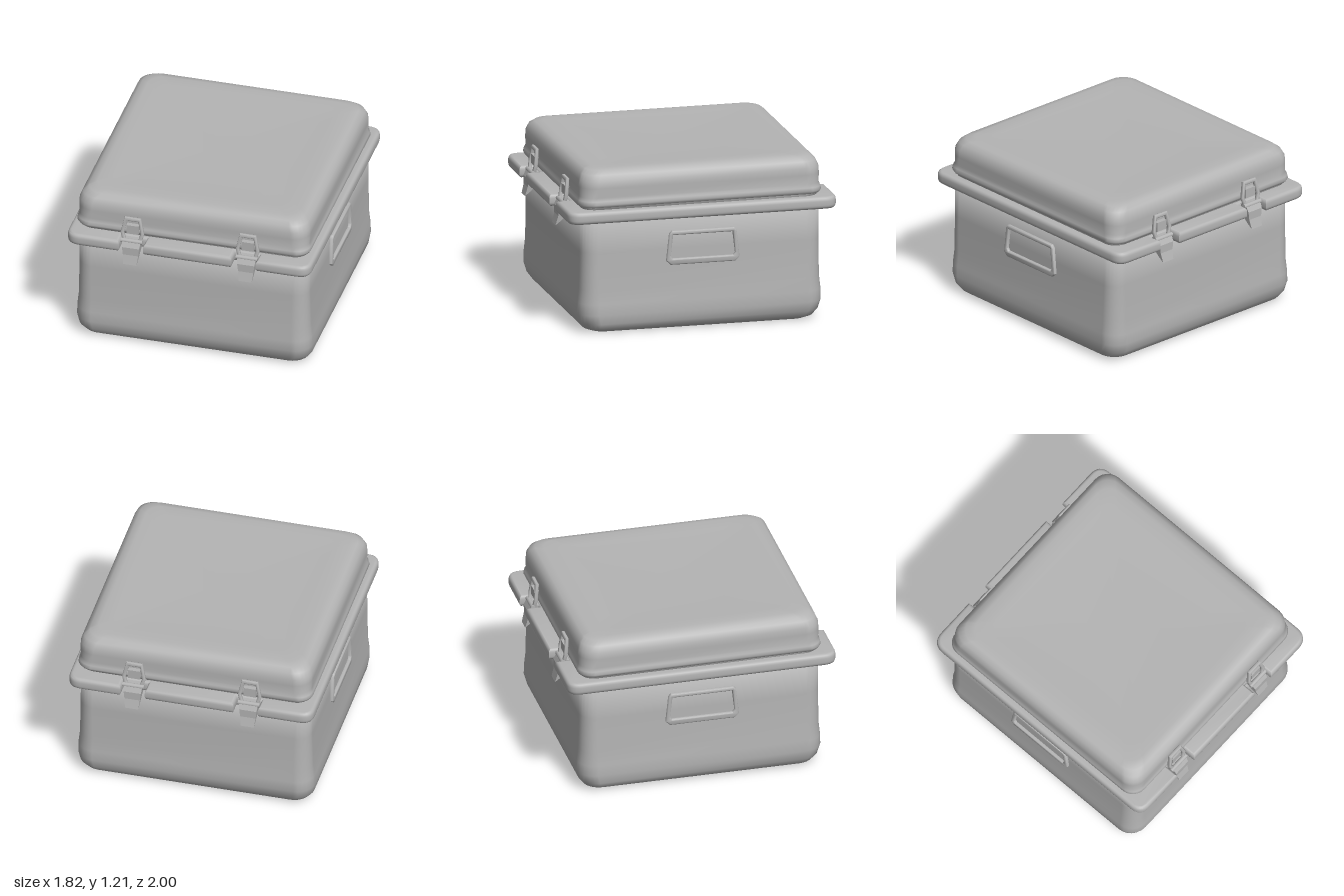
import * as THREE from 'three';
import { toCreasedNormals } from 'three/addons/utils/BufferGeometryUtils.js';

const CORNER = 6;

// Horizontal rounded rectangle as a ring of [x, z] points
function ring(hx, hz, r) {
  const pts = [];
  [[1, 1], [-1, 1], [-1, -1], [1, -1]].forEach(([sx, sz], k) => {
    for (let i = 0; i <= CORNER; i++) {
      const a = (k + i / CORNER) * Math.PI / 2;
      pts.push([sx * (hx - r) + r * Math.cos(a), sz * (hz - r) + r * Math.sin(a)]);
    }
  });
  return pts;
}

// Closed smooth shell through sections [y, halfX, halfZ, cornerRadius]
function loft(sections) {
  const n = 4 * (CORNER + 1), pos = [], idx = [];
  for (const [y, hx, hz, r] of sections) for (const [x, z] of ring(hx, hz, r)) pos.push(x, y, z);
  const last = (sections.length - 1) * n, c0 = sections.length * n, c1 = c0 + 1;
  pos.push(0, sections[0][0], 0, 0, sections[sections.length - 1][0], 0);
  for (let i = 0; i < n; i++) {
    const j = (i + 1) % n;
    for (let s = 0; s < last; s += n) idx.push(s + i, s + n + i, s + j, s + j, s + n + i, s + n + j);
    idx.push(c0, i, j, c1, last + j, last + i);
  }
  const g = new THREE.BufferGeometry();
  g.setAttribute('position', new THREE.Float32BufferAttribute(pos, 3));
  g.setIndex(idx);
  g.computeVertexNormals();
  return g;
}

const polygon = (pts) => new THREE.Shape(pts.map(([x, y]) => new THREE.Vector2(x, y)));

// Flat frame: outline with a hole, softly bevelled
function frame(outer, inner, depth, bevel) {
  const shape = polygon(outer);
  shape.holes.push(polygon(inner));
  return toCreasedNormals(new THREE.ExtrudeGeometry(shape, {
    depth, bevelEnabled: true, bevelSize: bevel, bevelThickness: bevel, bevelOffset: -bevel, bevelSegments: 2,
  }), 0.8);
}

export function createModel() {
  const model = new THREE.Group();
  model.name = 'storageCase';
  const grey = new THREE.MeshStandardMaterial({ color: 0xb4b4b4 });
  grey.name = 'grey';
  const add = (parent, name, geo) => {
    const m = new THREE.Mesh(geo, grey);
    m.name = name;
    parent.add(m);
    return m;
  };

  // Tub with a rounded foot and a slight taper upward
  add(model, 'body', loft([
    [0.01, 0.74, 0.76, 0.08], [0.0, 0.79, 0.80, 0.1], [0.022, 0.835, 0.85, 0.12], [0.07, 0.868, 0.885, 0.13],
    [0.14, 0.878, 0.905, 0.13], [0.22, 0.877, 0.903, 0.13], [0.32, 0.866, 0.892, 0.12],
    [0.6, 0.86, 0.888, 0.11], [0.87, 0.858, 0.887, 0.11],
  ]));

  // Lid with a recessed neck, a lower lip and a shallow dished top
  add(model, 'lid', loft([
    [0.88, 0.845, 0.875, 0.1], [0.935, 0.845, 0.875, 0.1], [0.94, 0.862, 0.895, 0.11], [0.96, 0.872, 0.905, 0.11],
    [0.985, 0.868, 0.90, 0.11], [1.01, 0.858, 0.89, 0.11], [1.08, 0.862, 0.893, 0.12], [1.13, 0.86, 0.89, 0.12],
    [1.175, 0.84, 0.872, 0.12], [1.203, 0.805, 0.84, 0.12], [1.214, 0.755, 0.785, 0.11],
    [1.211, 0.65, 0.68, 0.1], [1.202, 0.4, 0.42, 0.08],
  ]));

  // Rim around the seam, notched where the latches sit
  const rim = new THREE.Shape();
  const X = 0.91, Z = 1.0, R = 0.1, N = 0.9;
  const notches = [[0.51, N], [0.33, N]];
  rim.moveTo(X, -Z + R);
  rim.lineTo(X, Z - R);
  rim.quadraticCurveTo(X, Z, X - R, Z);
  const edge = (s) => {
    for (const m of [1, -1]) {
      const [a, b] = m > 0 ? [0.51, 0.33] : [-0.33, -0.51];
      for (const [x, z] of [[a, Z], [a, notches[0][1]], [b, N], [b, Z]]) rim.lineTo(s * x, s * z);
    }
  };
  edge(1);
  rim.lineTo(-X + R, Z);
  rim.quadraticCurveTo(-X, Z, -X, Z - R);
  rim.lineTo(-X, -Z + R);
  rim.quadraticCurveTo(-X, -Z, -X + R, -Z);
  edge(-1);
  rim.lineTo(X - R, -Z);
  rim.quadraticCurveTo(X, -Z, X, -Z + R);
  const rimGeo = new THREE.ExtrudeGeometry(rim, {
    depth: 0.03, bevelEnabled: true, bevelSize: 0.025, bevelThickness: 0.03, bevelOffset: -0.025,
    bevelSegments: 4, curveSegments: 8,
  });
  rimGeo.rotateX(-Math.PI / 2).translate(0, 0.86, 0);
  add(model, 'rim', toCreasedNormals(rimGeo, 0.8));

  // Latch parts: flared pull tab, wire loop, hook and hinge pin
  const tabGeo = new THREE.ExtrudeGeometry(
    polygon([[0.885, 0.91], [0.95, 0.91], [0.975, 0.86], [0.975, 0.80], [0.993, 0.73], [0.95, 0.765], [0.91, 0.81], [0.885, 0.83]]),
    { depth: 0.14, bevelEnabled: false });
  tabGeo.rotateY(-Math.PI / 2).translate(0.07, 0, 0);
  const p = tabGeo.attributes.position;
  for (let i = 0; i < p.count; i++) p.setX(i, p.getX(i) * (0.7 + 0.3 * (p.getY(i) - 0.73) / 0.18));
  tabGeo.computeVertexNormals();
  const loopGeo = frame(
    [[-0.065, 0], [0.065, 0], [0.088, 0.08], [0.06, 0.2], [-0.06, 0.2], [-0.088, 0.08]],
    [[-0.045, 0.025], [-0.062, 0.08], [-0.042, 0.172], [0.042, 0.172], [0.062, 0.08], [0.045, 0.025]],
    0.012, 0.008);
  loopGeo.rotateX(-0.13).translate(0, 0.88, 0.925);
  const hookGeo = new THREE.BoxGeometry(0.09, 0.07, 0.05).translate(0, 0.985, 0.9);
  const pinGeo = new THREE.CylinderGeometry(0.018, 0.018, 0.16, 10).rotateZ(Math.PI / 2).translate(0, 0.9, 0.94);

  // Two latches on the front and two on the back
  for (const side of ['front', 'back']) {
    const pair = new THREE.Group();
    pair.name = side + 'Latches';
    if (side === 'back') pair.rotation.y = Math.PI;
    for (const x of [-0.43, 0.43]) {
      const latch = new THREE.Group();
      latch.name = 'latch';
      latch.position.x = x;
      add(latch, 'pullTab', tabGeo);
      add(latch, 'latchLoop', loopGeo);
      add(latch, 'latchHook', hookGeo);
      add(latch, 'hingePin', pinGeo);
      pair.add(latch);
    }
    model.add(pair);
  }

  // Carrying handles, one on each side wall
  const handleGeo = frame(
    [[-0.24, 0.485], [0.24, 0.485], [0.272, 0.515], [0.25, 0.715], [0.232, 0.735], [-0.232, 0.735], [-0.25, 0.715], [-0.272, 0.515]],
    [[-0.225, 0.53], [-0.24, 0.55], [-0.222, 0.705], [0.222, 0.705], [0.24, 0.55], [0.225, 0.53]],
    0.022, 0.01);
  handleGeo.translate(0, 0, 0.852);
  for (const s of [1, -1]) {
    add(model, s > 0 ? 'leftHandle' : 'rightHandle', handleGeo).rotation.y = s * Math.PI / 2;
  }

  return model;
}
